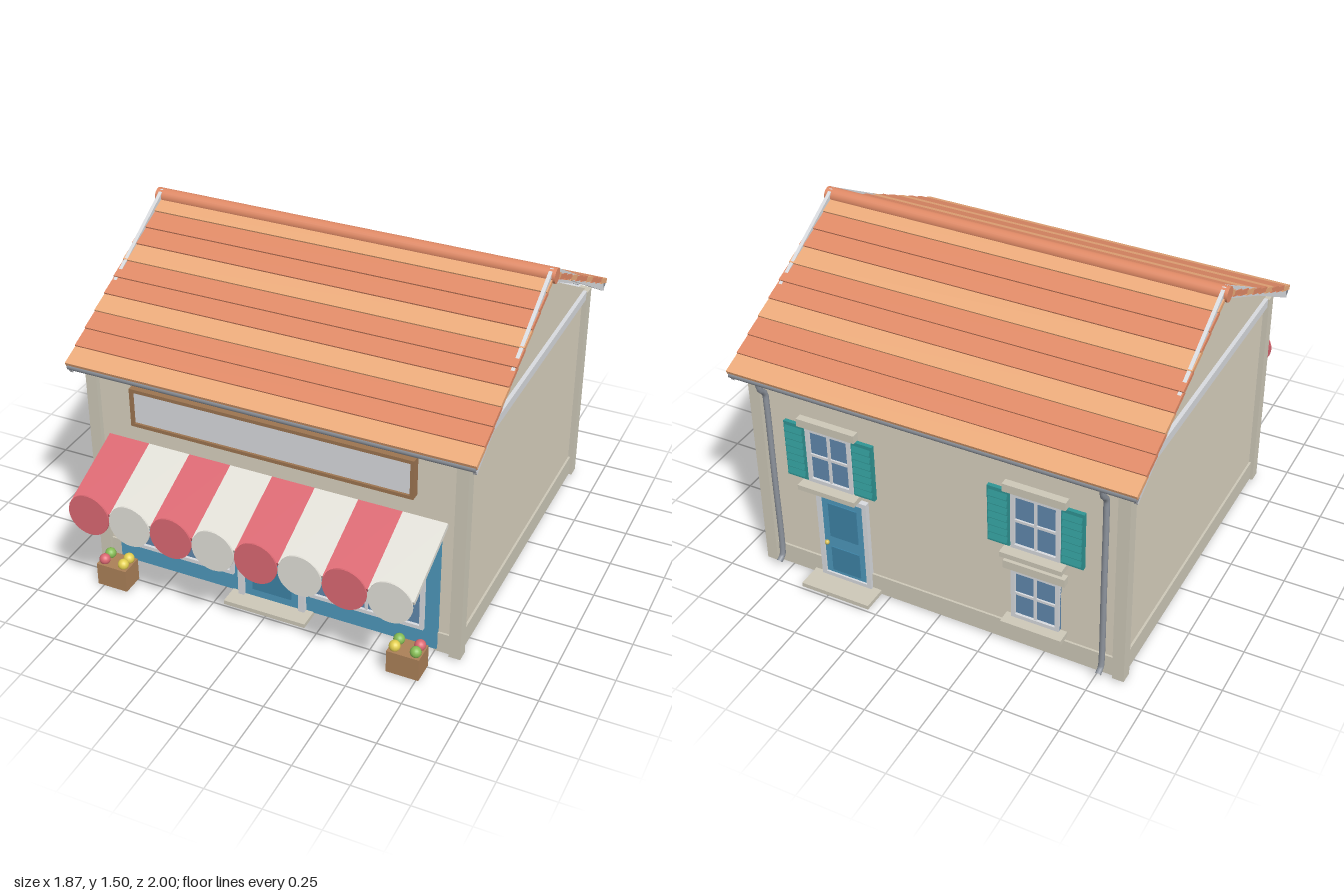
import * as THREE from 'three';

const C = {
  wall: 0xd9d1bf, stone: 0xcdc8b8, trim: 0xd8dade, pipe: 0x8d939c, tile: 0xe08a66, tileLight: 0xebaa7a,
  red: 0xdb6872, cream: 0xe2e0d8, blue: 0x4d97bb, blueDark: 0x3d83a6, glass: 0x6088ad, teal: 0x2f9493,
  wood: 0x9c7450, crate: 0xab8058, brass: 0xd8c05a, green: 0x86bd55, yellow: 0xe3cf4f,
};
const mats = {};
const mat = (c) => (mats[c] ??= new THREE.MeshStandardMaterial({ color: c }));

function add(parent, name, geo, color, x = 0, y = 0, z = 0) {
  const m = new THREE.Mesh(geo, mat(color));
  m.name = name;
  m.position.set(x, y, z);
  parent.add(m);
  return m;
}
// Box given by its limits on each axis
function block(parent, name, color, x0, x1, y0, y1, z0, z1) {
  return add(parent, name, new THREE.BoxGeometry(x1 - x0, y1 - y0, z1 - z0), color,
    (x0 + x1) / 2, (y0 + y1) / 2, (z0 + z1) / 2);
}
function group(parent, name, x = 0, y = 0, z = 0) {
  const g = new THREE.Group();
  g.name = name;
  g.position.set(x, y, z);
  parent.add(g);
  return g;
}
// Rectangular frame, outer size w x h, centred, in the xy plane
function frame(parent, name, color, x, y, z, w, h, t, d) {
  const s = new THREE.Shape([[-w, -h], [w, -h], [w, h], [-w, h]].map(([a, b]) => new THREE.Vector2(a / 2, b / 2)));
  const a = w / 2 - t, b = h / 2 - t;
  s.holes.push(new THREE.Path([[-a, -b], [-a, b], [a, b], [a, -b]].map(([p, q]) => new THREE.Vector2(p, q))));
  return add(parent, name, new THREE.ExtrudeGeometry(s, { depth: d, bevelEnabled: false }), color, x, y, z);
}
function ball(parent, name, color, x, y, z, r) {
  return add(parent, name, new THREE.SphereGeometry(r, 16, 12), color, x, y, z);
}
function step(parent, name, x0, x1, z0, z1) {
  block(parent, name, C.stone, x0, x1, 0.014, 0.034, z0, z1);
  block(parent, name + 'Base', C.stone, x0 + 0.035, x1 - 0.035, 0, 0.014, z0 + 0.03, z1 - 0.03);
}

const RZ = -0.118; // ridge line

function walls(root) {
  const g = group(root, 'walls');
  // Gabled body, profile extruded across x
  const s = new THREE.Shape([[-0.64, 0.012], [0.875, 0.012], [0.875, 1.02], [-RZ, 1.435], [-0.64, 1.02]]
    .map(([a, b]) => new THREE.Vector2(a, b)));
  const geo = new THREE.ExtrudeGeometry(s, { depth: 1.7, bevelEnabled: false });
  geo.translate(0, 0, -0.85).rotateY(Math.PI / 2);
  add(g, 'gabledBody', geo, C.wall);
  for (const sx of [-1, 1]) {
    for (const z of [0.635, -0.87])
      block(g, 'cornerPillar', C.stone, sx * 0.8475 - 0.0265, sx * 0.8475 + 0.0265, 0.01, 1.02, z - 0.028, z + 0.028);
    block(g, 'sidePlinth', C.stone, sx * 0.85 - 0.01, sx * 0.85 + 0.01, 0.012, 0.11, -0.85, 0.61);
    block(g, 'sideBeam', C.trim, sx * 0.855 - 0.013, sx * 0.855 + 0.013, 0.98, 1.022, -0.85, 0.61);
    block(g, 'frontPlinth', C.stone, Math.min(sx * 0.75, sx * 0.825), Math.max(sx * 0.75, sx * 0.825), 0.012, 0.11, 0.63, 0.65);
  }
  block(g, 'backPlinth', C.stone, -0.825, 0.825, 0.012, 0.11, -0.885, -0.865);
  block(g, 'frontBeam', C.trim, -0.825, 0.825, 0.98, 1.02, 0.63, 0.658);
  block(g, 'backBeam', C.trim, -0.825, 0.825, 0.98, 1.02, -0.893, -0.865);
}

function roof(root) {
  const g = group(root, 'roof', 0, 0, RZ);
  const angle = Math.atan2(0.43, 0.84), rows = 10, len = 0.942 / rows;
  for (const turn of [0, Math.PI]) {
    const side = group(g, 'roofSide');
    side.rotation.y = turn;
    const slope = group(side, 'roofSlope', 0, 1.463, 0);
    slope.rotation.x = angle;
    add(slope, 'roofDeck', new THREE.BoxGeometry(1.8, 0.014, 0.93), C.trim, 0, -0.022, 0.465);
    // Overlapping rows, every third one pale, counted from the eave
    for (let i = 0; i < rows; i++) {
      const row = add(slope, 'tileRow', new THREE.BoxGeometry(1.85, 0.022, len + 0.012),
        i % 3 === 0 ? C.tileLight : C.tile, 0, 0, (rows - i - 0.5) * len);
      row.rotation.x = -0.08;
    }
    // Barge boards, slightly steeper than the tiles
    for (const sx of [-1, 1]) {
      const b = add(side, 'bargeBoard', new THREE.BoxGeometry(0.016, 0.032, 0.961), C.trim, sx * 0.912, 1.243, 0.4165);
      b.rotation.x = Math.atan2(0.48, 0.833);
    }
    const gutter = add(side, 'gutter', new THREE.CylinderGeometry(0.017, 0.017, 1.84, 16), C.pipe, 0, 1.022, 0.83);
    gutter.rotation.z = Math.PI / 2;
  }
  const ridge = add(g, 'ridgeRoll', new THREE.CylinderGeometry(0.034, 0.034, 1.87, 24), C.tile, 0, 1.463, 0);
  ridge.rotation.z = Math.PI / 2;
}

function shopfront(root) {
  const g = group(root, 'shopfront');
  block(g, 'shopPanel', C.blue, -0.765, 0.765, 0.03, 0.64, 0.63, 0.662);
  for (const sx of [-1, 1]) {
    const x = sx * 0.447;
    block(g, 'shopGlass', C.glass, x - 0.25, x + 0.25, 0.14, 0.6, 0.655, 0.667);
    frame(g, 'shopWindowFrame', C.trim, x, 0.37, 0.655, 0.525, 0.49, 0.018, 0.025);
    block(g, 'mullion', C.trim, x - 0.006, x + 0.006, 0.14, 0.6, 0.66, 0.676);
    block(g, 'doorPost', C.trim, sx * 0.146 - 0.014, sx * 0.146 + 0.014, 0.03, 0.63, 0.65, 0.685);
  }
  block(g, 'doorHead', C.trim, -0.16, 0.16, 0.605, 0.63, 0.65, 0.685);
  block(g, 'shopDoor', C.blue, -0.132, 0.132, 0.033, 0.605, 0.65, 0.67);
  block(g, 'doorPanel', C.blueDark, -0.093, 0.093, 0.075, 0.22, 0.66, 0.677);
  block(g, 'doorPanel', C.blueDark, -0.093, 0.093, 0.28, 0.56, 0.66, 0.677);
  ball(g, 'doorKnob', C.brass, 0.085, 0.247, 0.69, 0.012);
  step(g, 'frontStep', -0.195, 0.195, 0.64, 0.755);
  // Sign board
  frame(g, 'signFrame', C.wood, 0, 0.868, 0.635, 1.3, 0.185, 0.016, 0.048);
  block(g, 'signPanel', C.trim, -0.635, 0.635, 0.785, 0.95, 0.635, 0.672);
}

function awning(root) {
  const g = group(root, 'awning');
  const w = 0.197, dz = 0.345, dy = 0.15;
  for (let i = 0; i < 8; i++) {
    const x = (i - 3.5) * w, color = i % 2 ? C.cream : C.red;
    const s = add(g, 'awningStripe', new THREE.BoxGeometry(w, 0.022, Math.hypot(dz, dy)), color, x, 0.593, 0.813);
    s.rotation.x = Math.atan2(dy, dz);
    const d = add(g, 'awningScallop', new THREE.CylinderGeometry(0.097, 0.097, 0.008, 32), color, x, 0.5, 0.996);
    d.rotation.x = Math.PI / 2;
  }
}

// Crates of fruit on both sides of the shop
function crates(root) {
  const fruit = [
    [-0.697, [C.red, C.yellow, C.green, C.yellow]],
    [0.693, [C.yellow, C.green, C.green, C.red]],
  ];
  for (const [x, colors] of fruit) {
    const g = group(root, 'fruitCrate', x, 0, 0.807);
    block(g, 'crate', C.crate, -0.073, 0.073, 0.013, 0.122, -0.053, 0.053);
    colors.forEach((c, i) => ball(g, 'fruit', c, i % 2 ? 0.047 : -0.047, 0.137, i < 2 ? 0.024 : -0.024, 0.025));
  }
}

// Four-pane window facing local +z, with optional louvred shutters
function paneWindow(parent, x, y, w, h, shutters) {
  const g = group(parent, 'backWindow', x, y, 0);
  block(g, 'pane', C.glass, -w / 2, w / 2, -h / 2, h / 2, -0.01, 0.008);
  frame(g, 'windowFrame', C.trim, 0, 0, 0, w, h, 0.018, 0.02);
  block(g, 'verticalBar', C.trim, -0.006, 0.006, -h / 2, h / 2, 0, 0.016);
  block(g, 'crossBar', C.trim, -w / 2, w / 2, -0.006, 0.006, 0, 0.016);
  block(g, 'sill', C.stone, -w / 2 - 0.03, w / 2 + 0.03, -h / 2 - 0.028, -h / 2 - 0.004, -0.01, 0.063);
  block(g, 'lintel', C.stone, -w / 2 - 0.03, w / 2 + 0.03, h / 2 + 0.004, h / 2 + 0.042, -0.01, 0.032);
  if (!shutters) return;
  for (const sx of [-1, 1]) {
    const s = group(g, 'shutter', sx * (w / 2 + 0.055), 0, 0);
    block(s, 'shutterBoard', C.teal, -0.05, 0.05, -h / 2, h / 2, 0, 0.018);
    for (let i = 0; i < 7; i++) {
      const slat = add(s, 'slat', new THREE.BoxGeometry(0.086, 0.026, 0.008), C.teal, 0, (i - 3) * h / 7.6, 0.021);
      slat.rotation.x = -0.4;
    }
  }
}

// Rear wall, built facing local +z and turned round
function rear(root) {
  const g = group(root, 'rearWall', 0, 0, -0.877);
  g.rotation.y = Math.PI;
  paneWindow(g, -0.5, 0.675, 0.22, 0.28, true);
  paneWindow(g, 0.465, 0.675, 0.22, 0.28, true);
  paneWindow(g, 0.465, 0.29, 0.22, 0.26, false);
  const d = group(g, 'backDoor', -0.455, 0, 0);
  frame(d, 'backDoorFrame', C.trim, 0, 0.265, -0.005, 0.25, 0.47, 0.022, 0.028);
  block(d, 'backDoorLeaf', C.blue, -0.105, 0.105, 0.034, 0.48, -0.01, 0.014);
  for (const [y0, y1] of [[0.07, 0.2], [0.26, 0.44]])
    block(d, 'backDoorPanel', C.blueDark, -0.07, 0.07, y0, y1, 0, 0.019);
  ball(d, 'backDoorKnob', C.brass, -0.085, 0.225, 0.026, 0.011);
  step(d, 'backStep', -0.168, 0.168, 0, 0.123);
  // Downpipes from the gutter
  for (const x of [-0.785, 0.775]) {
    const pts = [[1.015, 0.07], [0.975, 0.06], [0.94, 0.03], [0.88, 0.026], [0.5, 0.026], [0.09, 0.026], [0.06, 0.032], [0.045, 0.06]];
    const path = new THREE.CatmullRomCurve3(pts.map(([y, z]) => new THREE.Vector3(x, y, z)));
    add(g, 'downpipe', new THREE.TubeGeometry(path, 48, 0.013, 12), C.pipe);
  }
}

export function createModel() {
  const root = new THREE.Group();
  root.name = 'shopBuilding';
  for (const part of [walls, roof, shopfront, awning, crates, rear]) part(root);
  return root;
}
